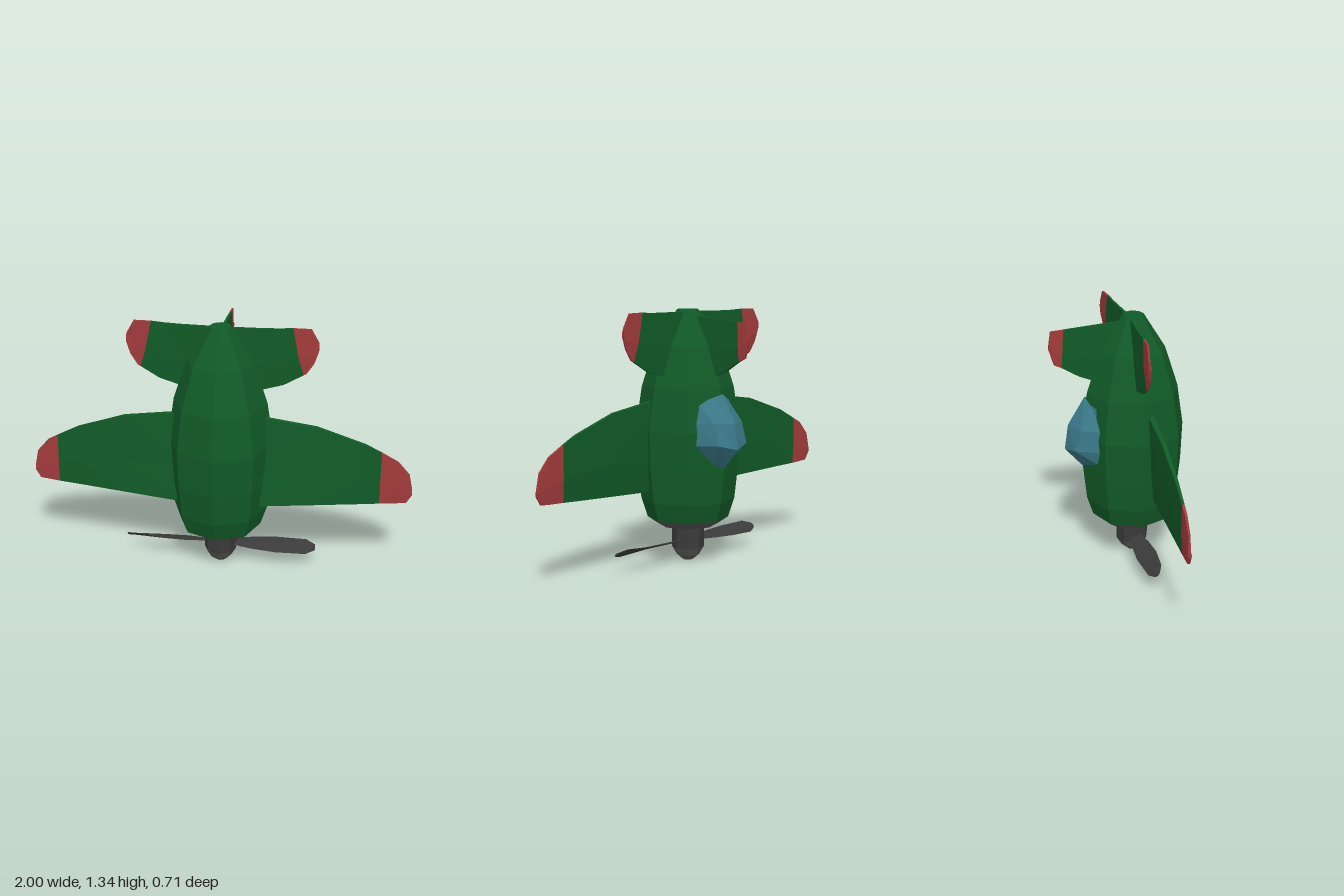
import * as THREE from 'three';

const mat = (name, color) => {
  const m = new THREE.MeshStandardMaterial({ color, flatShading: true });
  m.name = name;
  return m;
};
const AXIS_Z = 0.083; // fuselage axis, nose pointing down

// Closed loft through rings of equal point count, always facing outwards
function loft(rings) {
  const n = rings[0].length, tris = [];
  for (let i = 0; i < rings.length - 1; i++) {
    for (let j = 0; j < n; j++) {
      const k = (j + 1) % n;
      const a = rings[i][j], b = rings[i][k], c = rings[i + 1][k], d = rings[i + 1][j];
      tris.push([a, b, c], [a, c, d]);
    }
  }
  const first = rings[0], last = rings[rings.length - 1];
  for (let j = 1; j < n - 1; j++) {
    tris.push([first[0], first[j + 1], first[j]], [last[0], last[j], last[j + 1]]);
  }
  const v = p => new THREE.Vector3(...p);
  let volume = 0;
  for (const [a, b, c] of tris) volume += v(a).dot(v(b).cross(v(c)));
  if (volume < 0) tris.forEach(t => t.reverse());
  const g = new THREE.BufferGeometry();
  g.setAttribute('position', new THREE.Float32BufferAttribute(tris.flat(2), 3));
  g.computeVertexNormals();
  return g;
}

// Flying surface: stations [leadSpan, leadY, trailSpan, trailY]; depth offsets
// [lower lead, upper lead, lower trail, upper trail] blend from root to tip
function panelRings(stations, root, tip, side) {
  const s0 = stations[0][0], s1 = stations[stations.length - 1][0];
  return stations.map(([ls, ly, ts, ty]) => {
    const at = (s, i) => THREE.MathUtils.lerp(root[i], tip[i], (s - s0) / (s1 - s0));
    const ms = (ls + ts) / 2, my = ly * 0.6 + ty * 0.4;
    const bulge = 0.004;
    const low = (at(ms, 0) + at(ms, 2)) / 2 + bulge, up = (at(ms, 1) + at(ms, 3)) / 2 - bulge;
    return [
      [side * ls, ly, at(ls, 0)], [side * ms, my, low], [side * ts, ty, at(ts, 2)],
      [side * ts, ty, at(ts, 3)], [side * ms, my, up], [side * ls, ly, at(ls, 1)],
    ];
  });
}

export function createModel() {
  const model = new THREE.Group();
  model.name = 'propellerPlane';
  const green = mat('bodyGreen', 0x115a27);
  const red = mat('tipRed', 0xa03a3b);
  const glass = mat('canopyBlue', 0x3a7888);
  const ringGrey = mat('cowlGrey', 0x585253);
  const dark = mat('propellerDark', 0x3a3a3a);
  const spinnerGrey = mat('spinnerGrey', 0x595858);

  const add = (name, geometry, material) => {
    const m = new THREE.Mesh(geometry, material);
    m.name = name;
    model.add(m);
    return m;
  };
  const turned = (name, profile, material) => {
    const pts = profile.map(([r, y]) => new THREE.Vector2(r, y));
    add(name, new THREE.LatheGeometry(pts, 8), material).position.z = AXIS_Z;
  };

  // Eight-sided fuselage, cowl, hub and spinner
  turned('fuselage', [[0.215, 0.233], [0.248, 0.335], [0.267, 0.51], [0.275, 0.715],
    [0.242, 0.935], [0.172, 1.15], [0.055, 1.338], [0, 1.338]], green);
  turned('cowlRing', [[0, 0.195], [0.157, 0.195], [0.215, 0.233]], ringGrey);
  turned('propellerHub', [[0.085, 0.07], [0.087, 0.195]], dark);
  turned('spinner', [[0, 0], [0.03, 0.002], [0.06, 0.028], [0.085, 0.07]], spinnerGrey);

  // Green inner panel and red tip, divided at station index cut
  const surface = (name, stations, cut, root, tip, side) => {
    const rings = panelRings(stations, root, tip, side);
    return [
      add(name, loft(rings.slice(0, cut + 1)), green),
      add(name + 'Tip', loft(rings.slice(cut)), red),
    ];
  };

  for (const [label, side] of [['left', 1], ['right', -1]]) {
    // Main wing; the painted tip is a little longer on the left
    const cutX = side > 0 ? 0.833 : 0.865;
    const cutY = side > 0 ? 0.703 : 0.685;
    surface(label + 'Wing', [
      [0.15, 0.385, 0.15, 0.88], [0.5, 0.402, 0.5, 0.83], [0.75, 0.415, 0.75, 0.745],
      [cutX, 0.42, cutX, cutY], [0.92, 0.424, 0.92, 0.655], [0.972, 0.428, 0.98, 0.585],
      [0.998, 0.472, 0.998, 0.5],
    ], 3, [0.188, 0.142, 0.135, 0.105], [0.1, 0.088, 0.097, 0.087], side);

    // Tailplane
    surface(label + 'Tailplane', [
      [0.03, 0.99, 0.03, 1.327], [0.21, 1.0, 0.2, 1.325], [0.32, 1.03, 0.29, 1.326],
      [0.418, 1.085, 0.36, 1.33], [0.432, 1.092, 0.45, 1.328], [0.47, 1.15, 0.488, 1.26],
      [0.491, 1.215, 0.491, 1.25],
    ], 3, [0.08, 0.056, 0.072, 0.056], [0.045, 0.036, 0.038, 0.029], side);

    // Twisted propeller blade: [span, half depth, half height]
    const blade = [[0.05, 0.022, 0.006], [0.18, 0.045, 0.012], [0.3, 0.052, 0.018],
      [0.46, 0.034, 0.026], [0.51, 0.012, 0.011]].map(([x, d, h]) => [
      [side * x, 0.108 - h, AXIS_Z + side * d], [side * x, 0.112, AXIS_Z + side * 0.004],
      [side * x, 0.108 + h, AXIS_Z - side * d], [side * x, 0.104, AXIS_Z - side * 0.004],
    ]);
    add(label + 'PropellerBlade', loft(blade), dark);
  }

  // Upright fin, built as a panel and turned to point to the back
  surface('fin', [
    [0.0, 0.99, -0.04, 1.305], [0.14, 1.005, 0.14, 1.293], [0.2, 1.028, 0.2, 1.289],
    [0.292, 1.083, 0.28, 1.283], [0.33, 1.1, 0.345, 1.279], [0.356, 1.185, 0.356, 1.2],
  ], 3, [0.014, -0.014, 0.01, -0.01], [0.006, -0.006, 0.004, -0.004], 1)
    .forEach(m => { m.rotation.y = Math.PI / 2; });

  // Faceted canopy: base, shoulder and ridge point of each row
  const canopy = [
    [[0.12, 0.865, -0.112], [0.055, 0.88, -0.155], [0, 0.91, -0.175]],
    [[0.15, 0.765, -0.11], [0.1, 0.765, -0.215], [0, 0.765, -0.262]],
    [[0.155, 0.65, -0.11], [0.1, 0.655, -0.248], [0, 0.63, -0.281]],
    [[0.125, 0.57, -0.125], [0.06, 0.55, -0.16], [0, 0.527, -0.19]],
  ].map(([b, s, c]) => {
    const flip = p => [-p[0], p[1], p[2]];
    return [b, s, c, flip(s), flip(b)];
  });
  add('canopy', loft(canopy), glass);

  return model;
}
